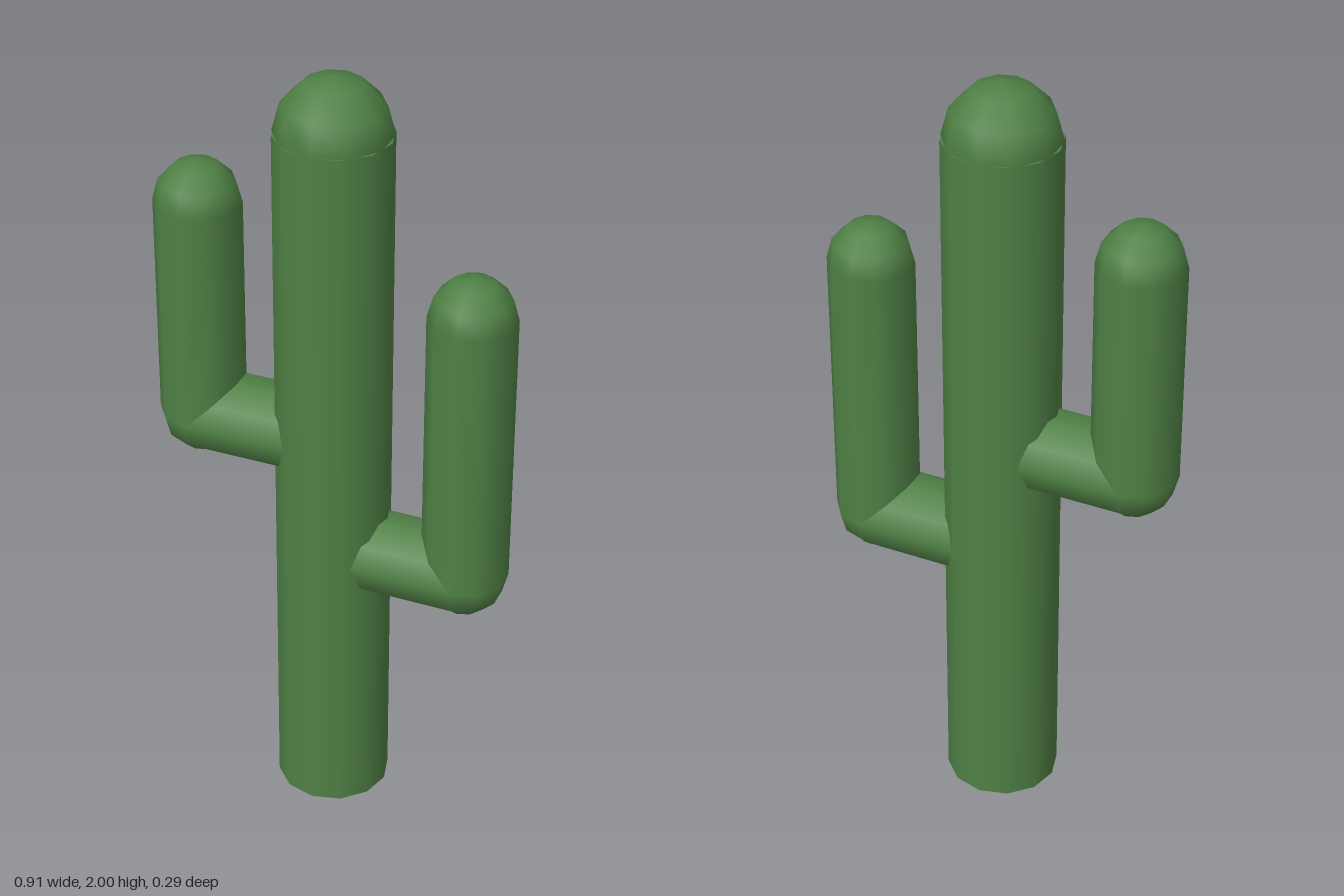
import * as THREE from 'three';

const green = new THREE.MeshStandardMaterial({ color: 0x4f8045 });

function part(name, geometry, x, y) {
  const mesh = new THREE.Mesh(geometry, green);
  mesh.name = name;
  mesh.position.set(x, y, 0);
  return mesh;
}

// Ten-sided ball or half ball, turned so a vertex points to +z
function ball(radius, half) {
  return new THREE.SphereGeometry(radius, 10, half ? 3 : 6, 0, Math.PI * 2, 0, half ? Math.PI / 2 : Math.PI)
    .rotateY(Math.PI / 2);
}

// L-shaped arm: stub out of the trunk, elbow, upright and rounded tip
function arm(name, side, elbowY, tipY) {
  const r = 0.108, reach = 0.35;
  const group = new THREE.Group();
  group.name = name;
  const length = tipY - elbowY;
  const stub = new THREE.CylinderGeometry(r, r, reach, 10).rotateZ(Math.PI / 2);
  group.add(
    part('armStub', stub, side * reach / 2, elbowY),
    part('armElbow', ball(r, false), side * reach, elbowY),
    part('armUpright', new THREE.CylinderGeometry(r, r, length, 10, 1, true), side * reach, elbowY + length / 2),
    part('armTip', ball(r, true), side * reach, tipY)
  );
  return group;
}

export function createModel() {
  const model = new THREE.Group();
  model.name = 'cactus';
  const r = 0.144, height = 1.857;

  // Trunk with a rounded top
  model.add(
    part('trunk', new THREE.CylinderGeometry(r, r, height, 12), 0, height / 2),
    part('trunkDome', ball(0.143, true), 0, height)
  );

  // Lower arm on the left, higher arm on the right
  model.add(arm('leftArm', 1, 0.727, 1.447), arm('rightArm', -1, 1.035, 1.612));
  return model;
}
